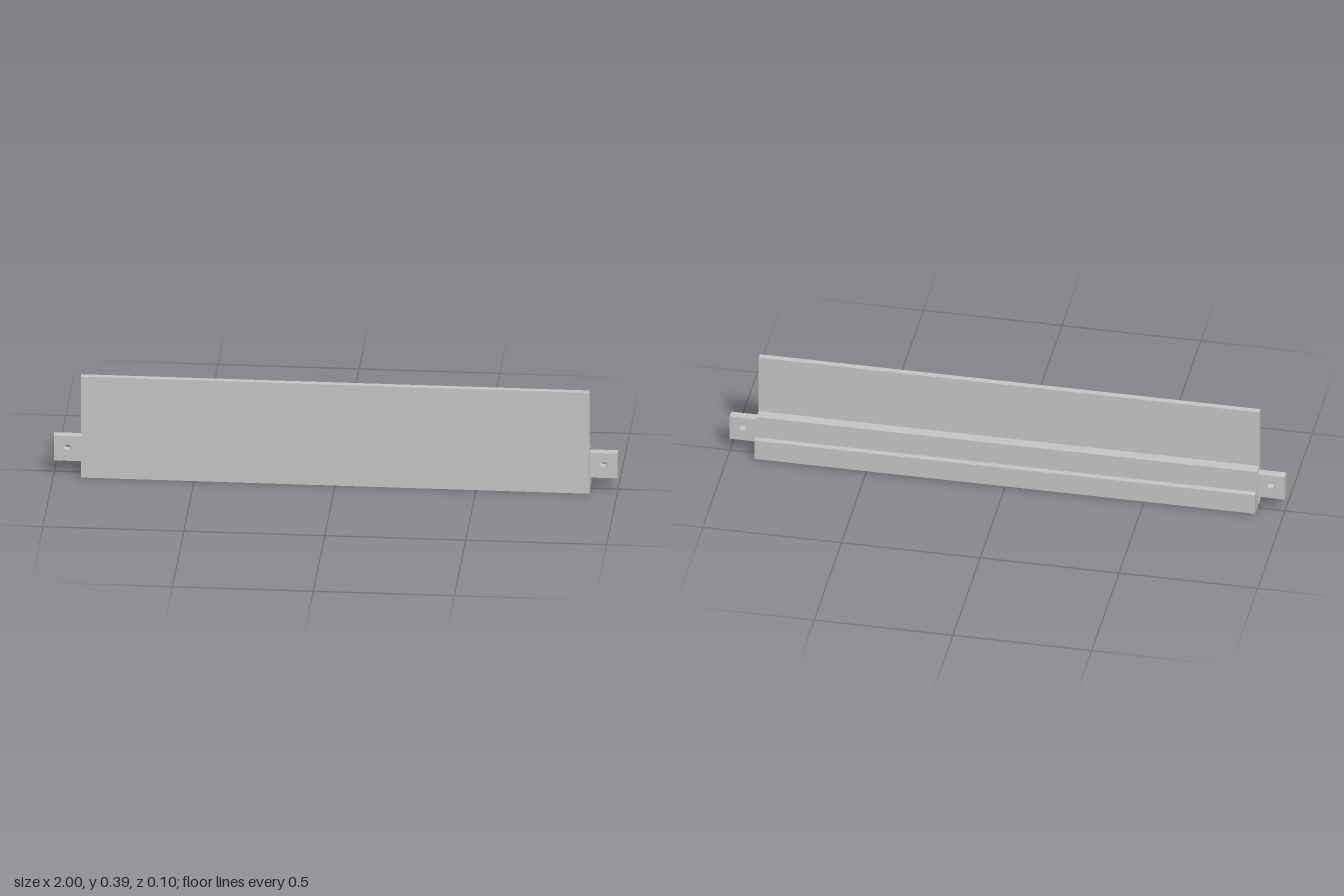
import * as THREE from 'three';

export function createModel() {
  const group = new THREE.Group();
  const grey = new THREE.MeshStandardMaterial({ color: 0xc8c8c8 });
  grey.name = 'lightGrey';

  const add = (name, geometry) => {
    const mesh = new THREE.Mesh(geometry, grey);
    mesh.name = name;
    group.add(mesh);
    return mesh;
  };

  // Rail: one constant cross-section of [z, y] points, running along x
  const halfLength = 0.902;
  const section = [
    [0.05, 0], [0.028, 0], [0.028, 0.04], [0.005, 0.04], // front plate foot and slot
    [0.005, 0], [-0.011, 0], [-0.011, 0.007], // rear leg
    [-0.049, 0.007], [-0.049, 0.085], [-0.027, 0.085], [-0.027, 0.046], // hook
    [-0.011, 0.046], [-0.011, 0.16], [0.028, 0.16], // block
    [0.028, 0.388], [0.05, 0.388], // tall front plate
  ];
  const railShape = new THREE.Shape(section.map(([z, y]) => new THREE.Vector2(-z, y)));
  const rail = new THREE.ExtrudeGeometry(railShape, { depth: 2 * halfLength, bevelEnabled: false });
  rail.rotateY(Math.PI / 2);
  rail.translate(-halfLength, 0, 0);
  add('rail', rail);

  // Mounting tabs with a through hole at each end
  const h = (1 - halfLength) / 2, bottom = 0.052, top = 0.147;
  for (const [name, side] of [['leftTab', 1], ['rightTab', -1]]) {
    const shape = new THREE.Shape([
      new THREE.Vector2(-h, bottom), new THREE.Vector2(h, bottom),
      new THREE.Vector2(h, top), new THREE.Vector2(-h, top),
    ]);
    const hole = new THREE.Path();
    hole.absellipse(0, 0.103, 0.014, 0.0105, 0, Math.PI * 2, true);
    shape.holes.push(hole);
    const tab = new THREE.ExtrudeGeometry(shape, { depth: 0.031, bevelEnabled: false, curveSegments: 24 });
    add(name, tab).position.set(side * (halfLength + h), 0, -0.006);
  }

  return group;
}
